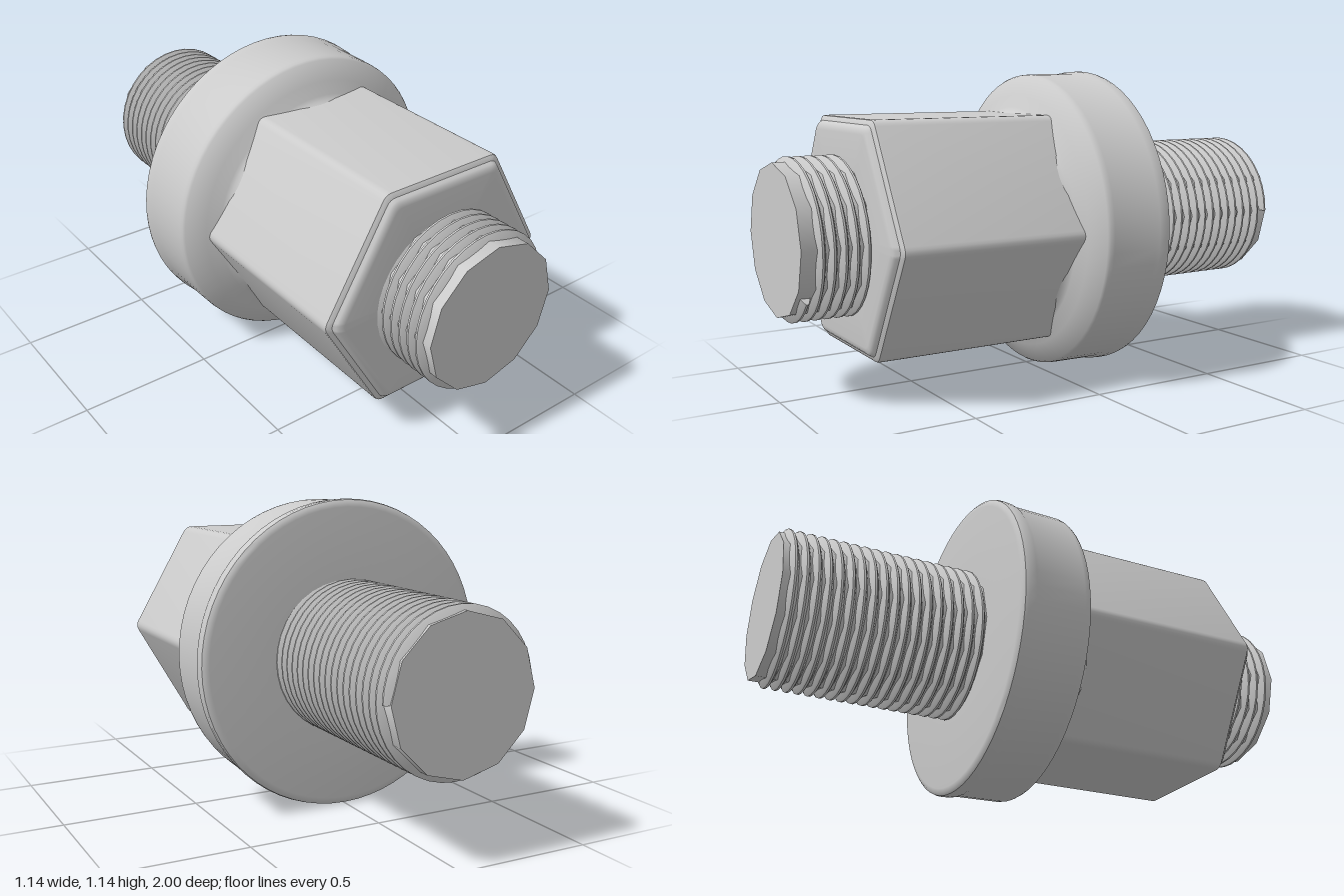
import * as THREE from 'three';
import { toCreasedNormals } from 'three/addons/utils/BufferGeometryUtils.js';

const grey = new THREE.MeshStandardMaterial({ color: 0xcccccc });

// Skin a list of rows of [x, y, z] points.
function loft(rows, crease) {
  const n = rows[0].length, index = [];
  for (let i = 0; i < rows.length - 1; i++) {
    for (let j = 0; j < n - 1; j++) {
      const a = i * n + j, b = a + 1, c = b + n, d = a + n;
      index.push(a, b, c, a, c, d);
    }
  }
  const g = new THREE.BufferGeometry();
  g.setAttribute('position', new THREE.Float32BufferAttribute(rows.flat(2), 3));
  g.setIndex(index);
  return toCreasedNormals(g, crease);
}

// Closed hexagon outline with softened corners, points on +x and -x.
function hexOutline(radius, soft) {
  const corner = k => new THREE.Vector2(Math.cos(k * Math.PI / 3), Math.sin(k * Math.PI / 3)).multiplyScalar(radius);
  const points = [];
  for (let k = 0; k < 6; k++) {
    const c = corner(k);
    const p = c.clone().lerp(corner(k - 1), soft);
    const q = c.clone().lerp(corner(k + 1), soft);
    points.push(...new THREE.QuadraticBezierCurve(p, c, q).getPoints(4));
  }
  points.push(points[0].clone());
  return points;
}

// Hexagonal body with a stepped, rounded front edge: [z, scale] per row.
function nutGeometry() {
  const outline = hexOutline(0.476, 0.05);
  const rows = [
    [-0.05, 1], [0.722, 1], [0.73, 0.995], [0.735, 0.98], [0.739, 0.955],
    [0.75, 0.94], [0.757, 0.92], [0.76, 0.88], [0.76, 0.5],
  ].map(([z, s]) => outline.map(p => [p.x * s, p.y * s, z]));
  return loft(rows, 0.6);
}

// Round collar, lathed as [radius, z] and sloping into the hexagon.
function flangeGeometry() {
  const profile = [
    [0.2, -0.262], [0.54, -0.262], [0.555, -0.26], [0.565, -0.252], [0.568, -0.24],
    [0.566, -0.21], [0.56, -0.195], [0.557, -0.02], [0.555, -0.005], [0.549, 0.005],
    [0.48, 0.038], [0.435, 0.06], [0.42, 0.068], [0.411, 0.085], [0.38, 0.1],
  ].map(([r, z]) => new THREE.Vector2(r, z));
  return toCreasedNormals(new THREE.LatheGeometry(profile, 64).rotateX(Math.PI / 2), 0.6);
}

// One continuous helical ridge with closed ends.
function threadGeometry(zStart, zEnd, turns) {
  const steps = 36, total = Math.round(turns * steps), rows = [];
  const pitch = (zEnd - zStart) / turns;
  const profile = [[0.253, 0.5], [0.279, 0.2], [0.285, 0.09], [0.285, -0.09], [0.279, -0.2], [0.253, -0.5]];
  for (let i = 0; i <= total; i++) {
    const angle = i / steps * Math.PI * 2;
    const z = zStart + i / steps * pitch;
    const row = profile.map(([r, w]) => [r * Math.cos(angle), r * Math.sin(angle), z + w * pitch]);
    const end = row.map(() => [0.253 * Math.cos(angle), 0.253 * Math.sin(angle), z]);
    if (i === 0) rows.push(end);
    rows.push(row);
    if (i === total) rows.push(end);
  }
  return loft(rows, 0.7);
}

export function createModel() {
  const model = new THREE.Group();
  model.name = 'studWithFlangeNut';
  const add = (name, geometry) => {
    const mesh = new THREE.Mesh(geometry, grey);
    mesh.name = name;
    mesh.position.y = 0.57;
    model.add(mesh);
  };

  add('hexNut', nutGeometry());
  add('flange', flangeGeometry());

  // Twelve-sided core of the stud
  const core = new THREE.CylinderGeometry(0.267, 0.267, 2, 12).rotateX(Math.PI / 2);
  add('studCore', toCreasedNormals(core, 0.7));
  add('studThread', threadGeometry(-0.98, 0.967, 48 + 8 / 9));
  return model;
}
